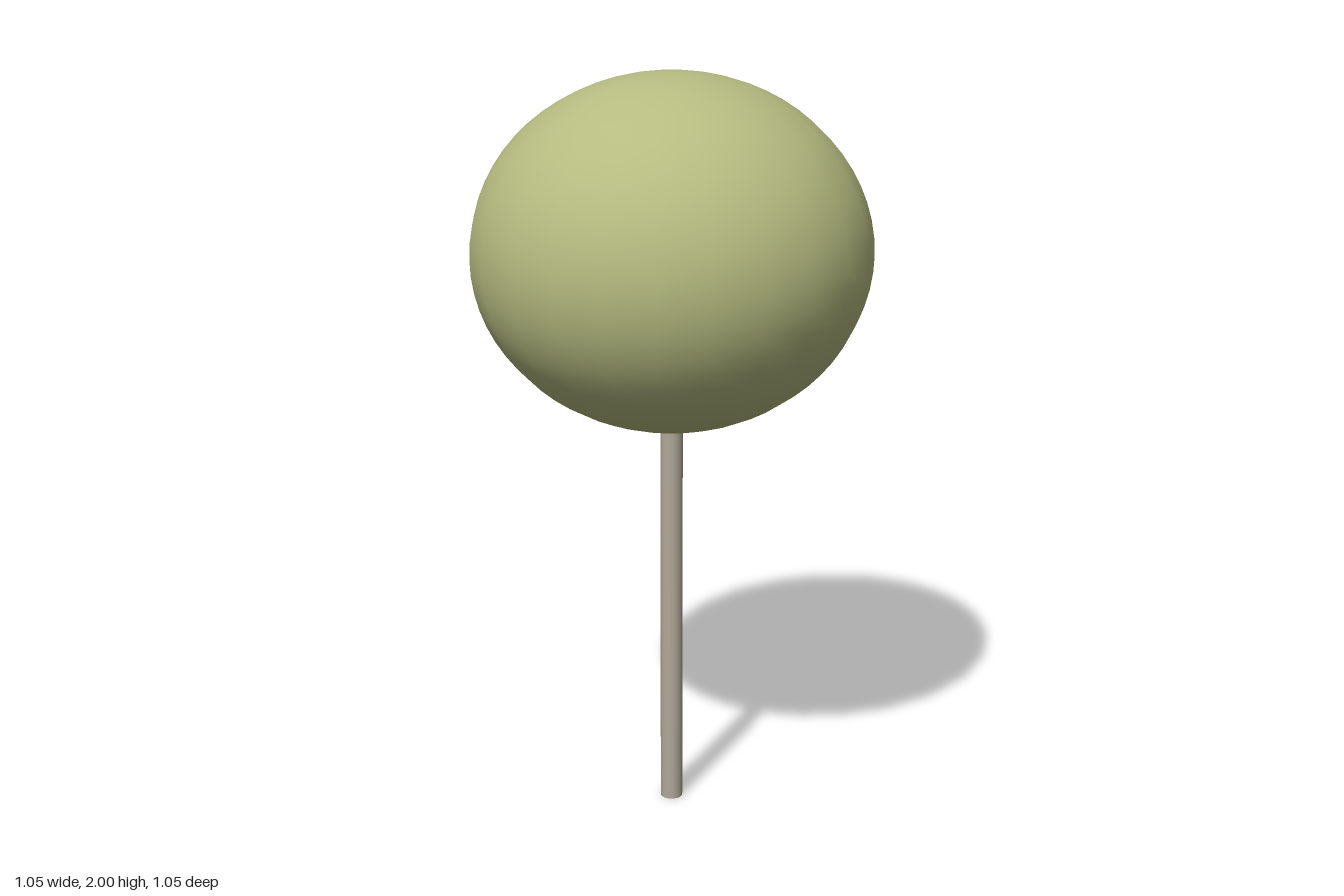
import * as THREE from 'three';

const CROWN_RADIUS = 0.524;
const CROWN_HALF_HEIGHT = 0.465;
const CROWN_CENTRE = 2 - CROWN_HALF_HEIGHT;
const TRUNK_RADIUS = 0.03;

function addPart(group, name, geometry, color, y) {
  const mesh = new THREE.Mesh(geometry, new THREE.MeshStandardMaterial({ color }));
  mesh.name = name;
  mesh.position.y = y;
  group.add(mesh);
}

export function createModel() {
  const tree = new THREE.Group();
  tree.name = 'tree';

  // Straight, thin trunk that ends just inside the crown
  const trunkHeight = 1.1;
  addPart(tree, 'trunk',
    new THREE.CylinderGeometry(TRUNK_RADIUS, TRUNK_RADIUS, trunkHeight, 16),
    0xb0a898, trunkHeight / 2);

  // Smooth, slightly flattened round crown
  const crown = new THREE.SphereGeometry(CROWN_RADIUS, 24, 32);
  crown.scale(1, CROWN_HALF_HEIGHT / CROWN_RADIUS, 1);
  addPart(tree, 'crown', crown, 0xb5bb80, CROWN_CENTRE);

  return tree;
}
